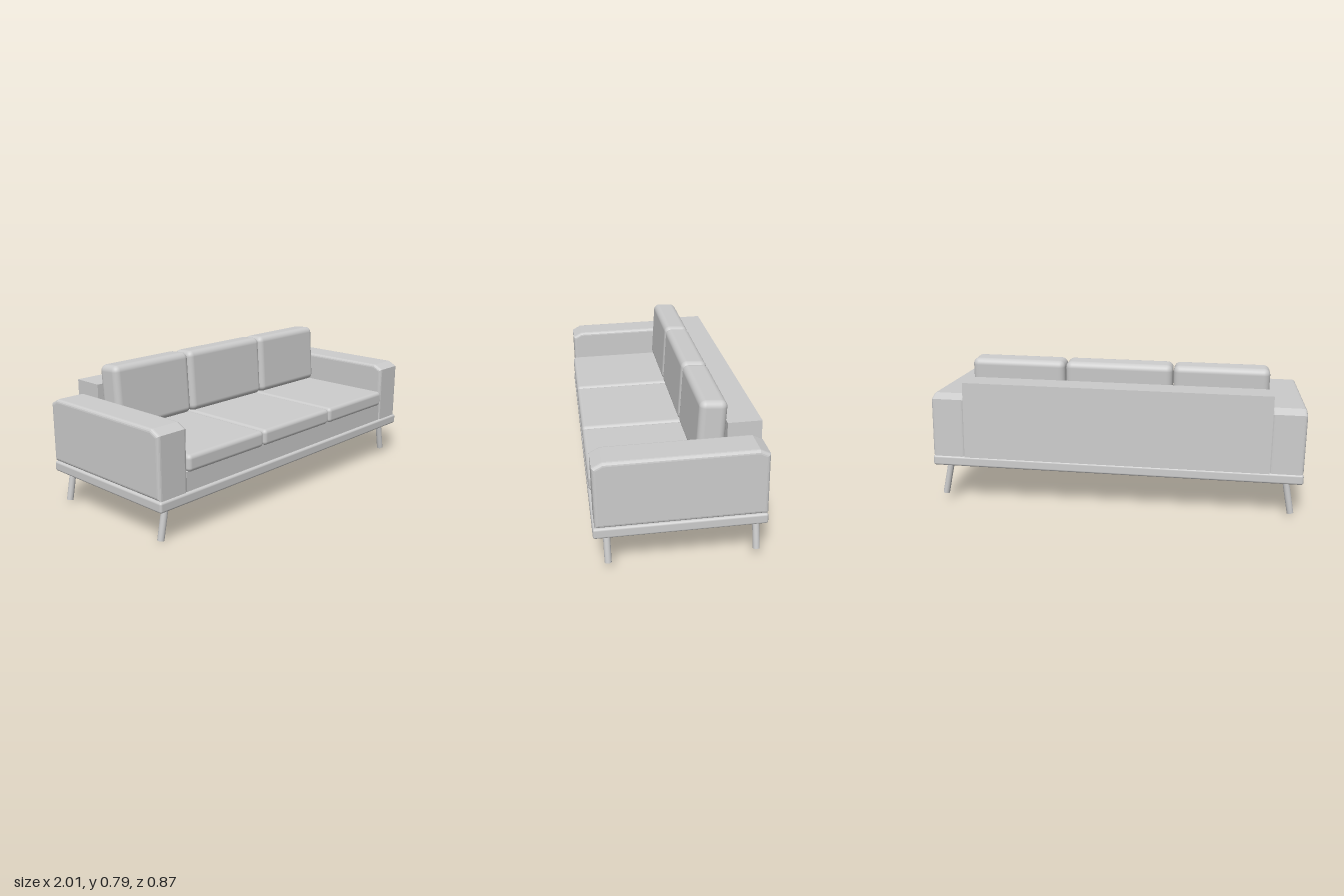
import * as THREE from 'three';
import { RoundedBoxGeometry } from 'three/addons/geometries/RoundedBoxGeometry.js';

export function createModel() {
  const model = new THREE.Group();
  model.name = 'sofa';
  const sofa = new THREE.Group();
  sofa.name = 'sofaBody';
  model.add(sofa);
  const material = new THREE.MeshStandardMaterial({ color: 0xcccccc });

  const add = (name, geometry, x, y, z) => {
    const mesh = new THREE.Mesh(geometry, material);
    mesh.name = name;
    mesh.position.set(x, y, z);
    sofa.add(mesh);
    return mesh;
  };
  // Box given by its limits on each axis, with optional rounding
  const block = (name, [x0, x1], [y0, y1], [z0, z1], radius = 0) => {
    const size = [x1 - x0, y1 - y0, z1 - z0];
    const geometry = radius
      ? new RoundedBoxGeometry(...size, 4, radius)
      : new THREE.BoxGeometry(...size);
    return add(name, geometry, (x0 + x1) / 2, (y0 + y1) / 2, (z0 + z1) / 2);
  };

  // Platform, apron under the cushions and backrest
  block('basePlatform', [-0.997, 0.997], [0.193, 0.248], [-0.425, 0.42], 0.012);
  block('seatApron', [-0.82, 0.82], [0.245, 0.35], [-0.3, 0.405]);
  block('backrest', [-0.82, 0.82], [0.245, 0.66], [-0.424, -0.255]);

  // Arms: side outline with clipped top corners, bevelled across the width
  const bevel = 0.018;
  const outline = new THREE.Shape([
    [0.392, 0.266], [0.392, 0.555], [0.355, 0.574],
    [-0.37, 0.574], [-0.407, 0.555], [-0.407, 0.266],
  ].map(([z, y]) => new THREE.Vector2(-z, y)));
  const armGeometry = new THREE.ExtrudeGeometry(outline, {
    depth: 0.18 - 2 * bevel, bevelThickness: bevel, bevelSize: bevel, bevelSegments: 4,
  });
  armGeometry.translate(0, 0, -(0.18 - 2 * bevel) / 2);
  armGeometry.rotateY(Math.PI / 2);
  for (const side of [-1, 1]) {
    add(side < 0 ? 'rightArm' : 'leftArm', armGeometry, side * 0.905, 0, 0);
  }

  // Three seat cushions and three leaning back cushions
  const seatEdges = [-0.818, -0.277, 0.283, 0.818];
  const backEdges = [-0.806, -0.29, 0.296, 0.813];
  for (let i = 0; i < 3; i++) {
    block('seatCushion', [seatEdges[i] + 0.003, seatEdges[i + 1] - 0.003],
      [0.345, 0.432], [-0.255, 0.421], 0.022);
    const back = block('backCushion', [backEdges[i] + 0.002, backEdges[i + 1] - 0.002],
      [0.428, 0.768], [-0.251, -0.113], 0.034);
    back.rotation.x = -0.07;
  }

  // Round legs splayed outwards
  const up = new THREE.Vector3(0, 1, 0);
  for (const side of [-1, 1]) {
    for (const z of [0.352, -0.383]) {
      const top = new THREE.Vector3(side * 0.908, 0.205, z);
      const foot = new THREE.Vector3(side * 0.944, 0.023, z);
      const axis = top.clone().sub(foot);
      const mid = top.clone().add(foot).multiplyScalar(0.5);
      const leg = add(z > 0 ? 'frontLeg' : 'backLeg',
        new THREE.CylinderGeometry(0.0175, 0.0175, axis.length(), 24), mid.x, mid.y, mid.z);
      leg.quaternion.setFromUnitVectors(up, axis.normalize());
    }
  }

  // Slight overall tilt
  sofa.rotation.set(0.018, 0.01, 0.015);
  return model;
}
